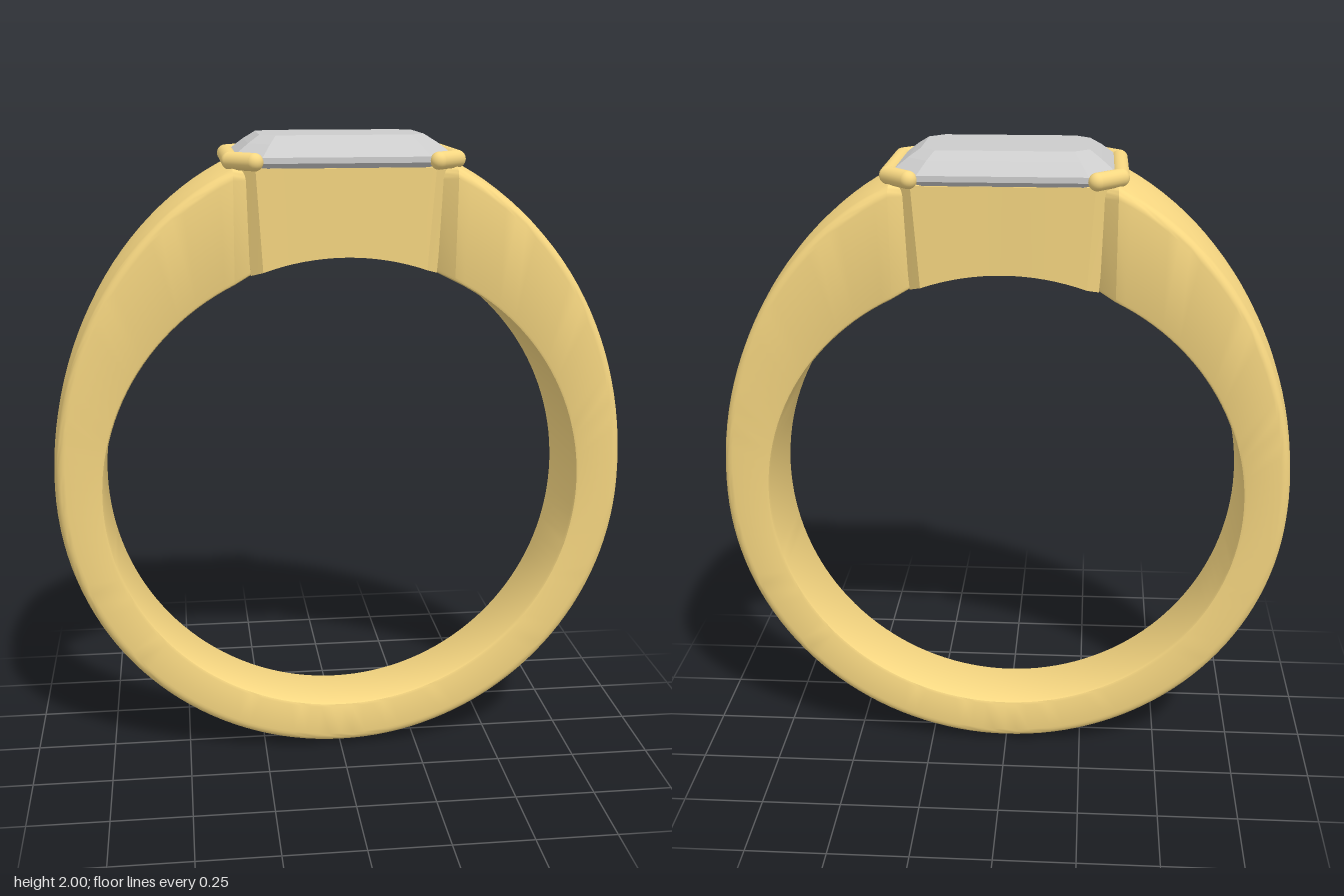
import * as THREE from 'three';
import { toCreasedNormals, mergeVertices } from 'three/addons/utils/BufferGeometryUtils.js';

const GOLD = new THREE.MeshStandardMaterial({ color: 0xf8d882 });
const GEM = new THREE.MeshStandardMaterial({ color: 0xcccccc, flatShading: true });

const BORE = 0.743, BORE_Y = 0.905;             // finger hole radius and centre height
const boreTop = (x) => BORE_Y + Math.sqrt(BORE * BORE - x * x);

// Skin a list of equal-length closed rings; either cap the ends or join last to first
function loft(rings, closed = false) {
  const pos = [];
  const tri = (...pts) => pts.forEach((p) => pos.push(p.x, p.y, p.z));
  const n = rings[0].length;
  const last = closed ? rings.length : rings.length - 1;
  for (let i = 0; i < last; i++) {
    const r = rings[i], s = rings[(i + 1) % rings.length];
    for (let j = 0; j < n; j++) {
      const k = (j + 1) % n;
      tri(r[j], r[k], s[k]);
      tri(r[j], s[k], s[j]);
    }
  }
  if (!closed) {
    const centre = (r) => r.reduce((c, p) => c.add(p), new THREE.Vector3()).divideScalar(n);
    const a = rings[0], b = rings[rings.length - 1], ca = centre(a), cb = centre(b);
    for (let j = 0; j < n; j++) {
      const k = (j + 1) % n;
      tri(ca, a[k], a[j]);
      tri(cb, b[j], b[k]);
    }
  }
  const g = new THREE.BufferGeometry();
  g.setAttribute('position', new THREE.Float32BufferAttribute(pos, 3));
  return g;
}

function mesh(name, geometry, material) {
  const m = new THREE.Mesh(geometry, material);
  m.name = name;
  return m;
}

const smooth = (g, angle = 0.6) => toCreasedNormals(mergeVertices(g, 1e-5), angle);

// Rectangle with cut corners in x and z; the long sides are split so they can follow an arc
function octagon(hx, hz, cut, yOf, split = 1) {
  const c = [[hx, -hz + cut], [hx, hz - cut], [hx - cut, hz], [-hx + cut, hz],
    [-hx, hz - cut], [-hx, -hz + cut], [-hx + cut, -hz], [hx - cut, -hz]];
  const ring = [];
  c.forEach(([x, z], i) => {
    const [x2, z2] = c[(i + 1) % 8];
    const steps = i === 2 || i === 6 ? split : 1;
    for (let k = 0; k < steps; k++) {
      const px = x + (x2 - x) * k / steps;
      ring.push(new THREE.Vector3(px, yOf(px), z + (z2 - z) * k / steps));
    }
  });
  return ring;
}

// Band cross-section from inner point p to outer point q: domed outside, rounded rims, flat inside
function bandSection(p, q, scale = 1) {
  const width = (y) => (0.105 + 0.067 * y) * scale;
  const wo = width(q.y), wi = width(p.y), r = 0.032, dome = 0.016;
  const len = p.distanceTo(q);
  const half = [];
  for (const f of [0, 0.35, 0.7]) half.push([f * (wo - r), dome * f * f]);
  for (let k = 0; k <= 6; k++) {
    const a = (k / 6) * Math.PI / 2;
    half.push([wo - r + r * Math.sin(a), dome + r * (1 - Math.cos(a))]);
  }
  half.push([wi, len - 0.012], [wi - 0.003, len - 0.004], [wi - 0.012, len]);
  const mirrored = half.slice(1).reverse().map(([z, d]) => [-z, d]);
  return [...half, ...mirrored].map(([z, d]) => {
    const v = q.clone().lerp(p, d / len);
    v.z = z;
    return v;
  });
}

// Open band: round inside, taller oval outside, cut off vertically beside the setting
function bandGeometry() {
  const cutX = 0.33, steps = 120;
  const ti = Math.asin(cutX / BORE), to = Math.asin(cutX / 0.9);
  const end = (x) => bandSection(new THREE.Vector3(x, boreTop(x), 0), new THREE.Vector3(x, 1.92, 0), 0.8);
  const rings = [end(0.28)];
  for (let i = 0; i <= steps; i++) {
    const t = i / steps;
    const a = ti + (2 * Math.PI - 2 * ti) * t;
    const b = to + (2 * Math.PI - 2 * to) * t;
    const p = new THREE.Vector3(BORE * Math.sin(a), BORE_Y + BORE * Math.cos(a), 0);
    const c = Math.cos(b);
    const q = new THREE.Vector3(0.9 * Math.sin(b), 0.92 + c * (c > 0 ? 1.08 : 0.92), 0);
    rings.push(bandSection(p, q));
  }
  rings.push(end(-0.28));
  return smooth(loft(rings));
}

// Hollow tapered frame under the stone, its foot following the finger hole
function basketGeometry() {
  const top = () => 1.91;
  return smooth(loft([
    octagon(0.305, 0.228, 0.04, top, 16),
    octagon(0.28, 0.208, 0.035, boreTop, 16),
    octagon(0.235, 0.145, 0.012, boreTop, 16),
    octagon(0.265, 0.185, 0.012, top, 16),
  ], true), 0.4);
}

// Step-cut stone: [half length, half depth, corner cut, height]
function stoneGeometry() {
  return loft([
    [0.245, 0.155, 0.045, 2.0],
    [0.28, 0.2, 0.06, 1.977],
    [0.325, 0.245, 0.08, 1.942],
    [0.325, 0.245, 0.08, 1.925],
    [0.29, 0.21, 0.07, 1.9],
    [0.2, 0.12, 0.04, 1.83],
    [0.12, 0.035, 0.015, 1.78],
  ].map(([hx, hz, cut, y]) => octagon(hx, hz, cut, () => y)));
}

// Round-ended bar clasping one short side of the stone and its two corners
function claspBar(side) {
  const g = new THREE.Group();
  g.name = side > 0 ? 'leftClaspBar' : 'rightClaspBar';
  const r = 0.026;
  const pts = [[0.268, 0.242], [0.335, 0.17], [0.335, -0.17], [0.268, -0.242]]
    .map(([x, z]) => new THREE.Vector3(side * x, 1.93, z));
  pts.forEach((p, i) => {
    const ball = mesh('barJoint', new THREE.SphereGeometry(r, 20, 14), GOLD);
    ball.position.copy(p);
    g.add(ball);
    if (i === 0) return;
    const path = new THREE.LineCurve3(pts[i - 1], p);
    g.add(mesh('barLength', new THREE.TubeGeometry(path, 1, r, 20), GOLD));
  });
  return g;
}

export function createModel() {
  const model = new THREE.Group();
  model.name = 'ring';
  model.add(
    mesh('band', bandGeometry(), GOLD),
    mesh('basket', basketGeometry(), GOLD),
    mesh('stone', stoneGeometry(), GEM),
    claspBar(1),
    claspBar(-1),
  );
  model.getObjectByName('stone').geometry.computeVertexNormals();
  return model;
}
